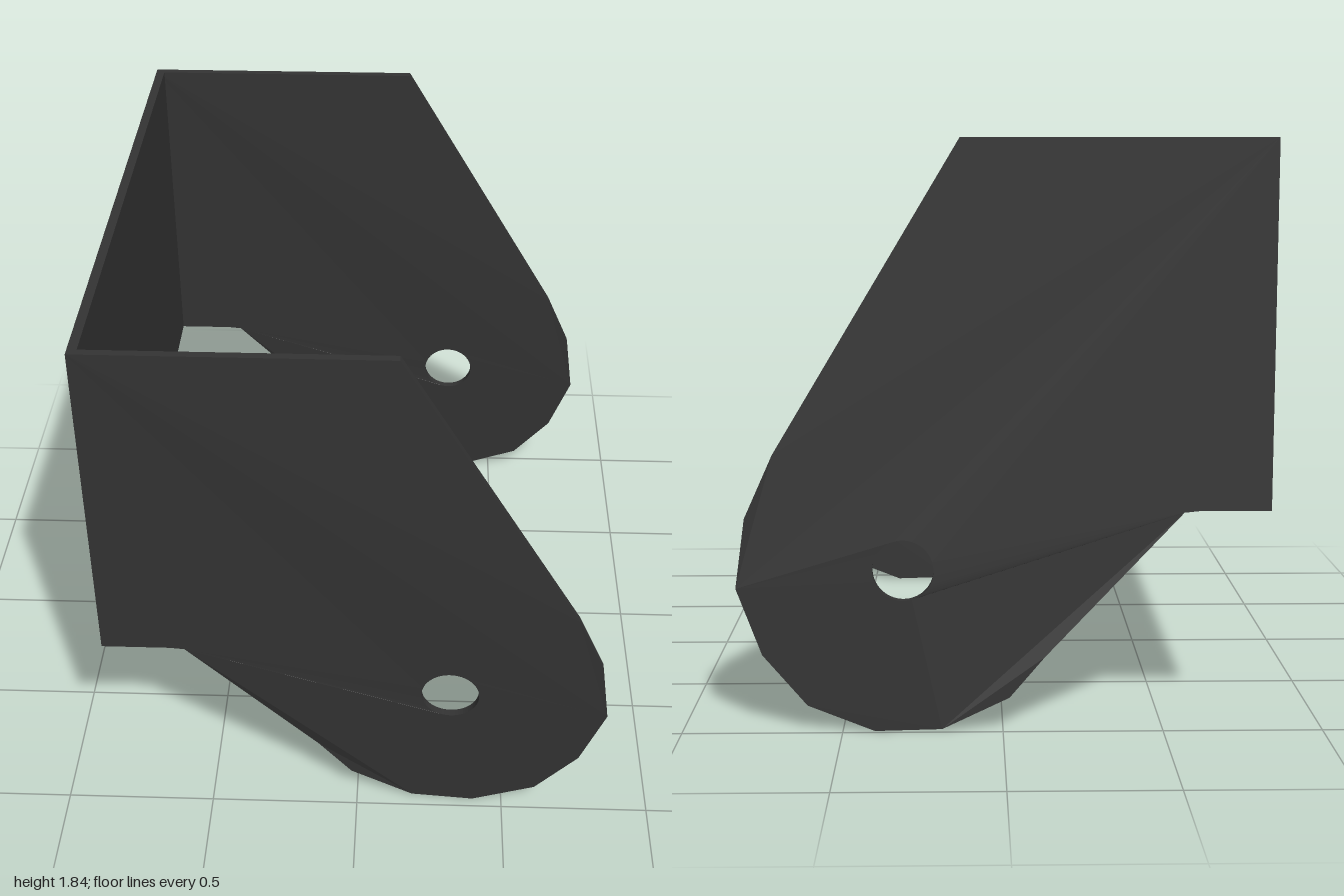
import * as THREE from 'three';

const THICKNESS = 0.026;
const HOLE = { x: 0.31, y: 0.51, r: 0.095 };

// Cheek outline: square upper corner, slanted arm and faceted round end
const OUTLINE = [
  [-0.83, 0.695], [-0.61, 0.695], [-0.56, 0.69], [-0.13, 0.24], [-0.02, 0.11],
  [0.19, 0.008], [0.4, 0], [0.61, 0.08], [0.75, 0.24], [0.83, 0.45],
  [0.8, 0.67], [0.71, 0.87], [0.13, 1.835], [-0.83, 1.835],
];

// Slight twist of the arm about its long axis, fading out towards the panel
function twist(x, y) {
  const dx = x - HOLE.x, dy = y - HOLE.y;
  const across = dx * 0.83 + dy * 0.56;
  const along = dx * 0.56 - dy * 0.83;
  return 0.05 * across * THREE.MathUtils.clamp(1 + along / 0.65, 0, 1);
}

function cheekGeometry() {
  const shape = new THREE.Shape(OUTLINE.map(([x, y]) => new THREE.Vector2(x, y)));
  const hole = new THREE.Path();
  hole.absarc(HOLE.x, HOLE.y, HOLE.r, 0, Math.PI * 2, true);
  shape.holes.push(hole);
  const geo = new THREE.ExtrudeGeometry(shape, {
    depth: THICKNESS, bevelEnabled: false, curveSegments: 32,
  });
  geo.translate(0, 0, -THICKNESS / 2);
  const p = geo.attributes.position;
  for (let i = 0; i < p.count; i++) {
    p.setZ(i, p.getZ(i) + twist(p.getX(i), p.getY(i)));
  }
  geo.computeVertexNormals();
  return geo;
}

export function createModel() {
  const group = new THREE.Group();
  group.name = 'bracket';
  const material = new THREE.MeshStandardMaterial({ color: 0x333333 });

  // Two cheek plates, both twisted the same way
  const cheek = cheekGeometry();
  for (const [name, z] of [['frontCheek', 0.965], ['backCheek', -0.963]]) {
    const mesh = new THREE.Mesh(cheek, material);
    mesh.name = name;
    mesh.position.z = z;
    group.add(mesh);
  }

  // Flat panel joining the cheeks
  const panel = new THREE.Mesh(new THREE.BoxGeometry(0.03, 1.14, 1.902), material);
  panel.name = 'joiningPanel';
  panel.position.set(-0.815, 1.265, 0.001);
  group.add(panel);

  return group;
}
